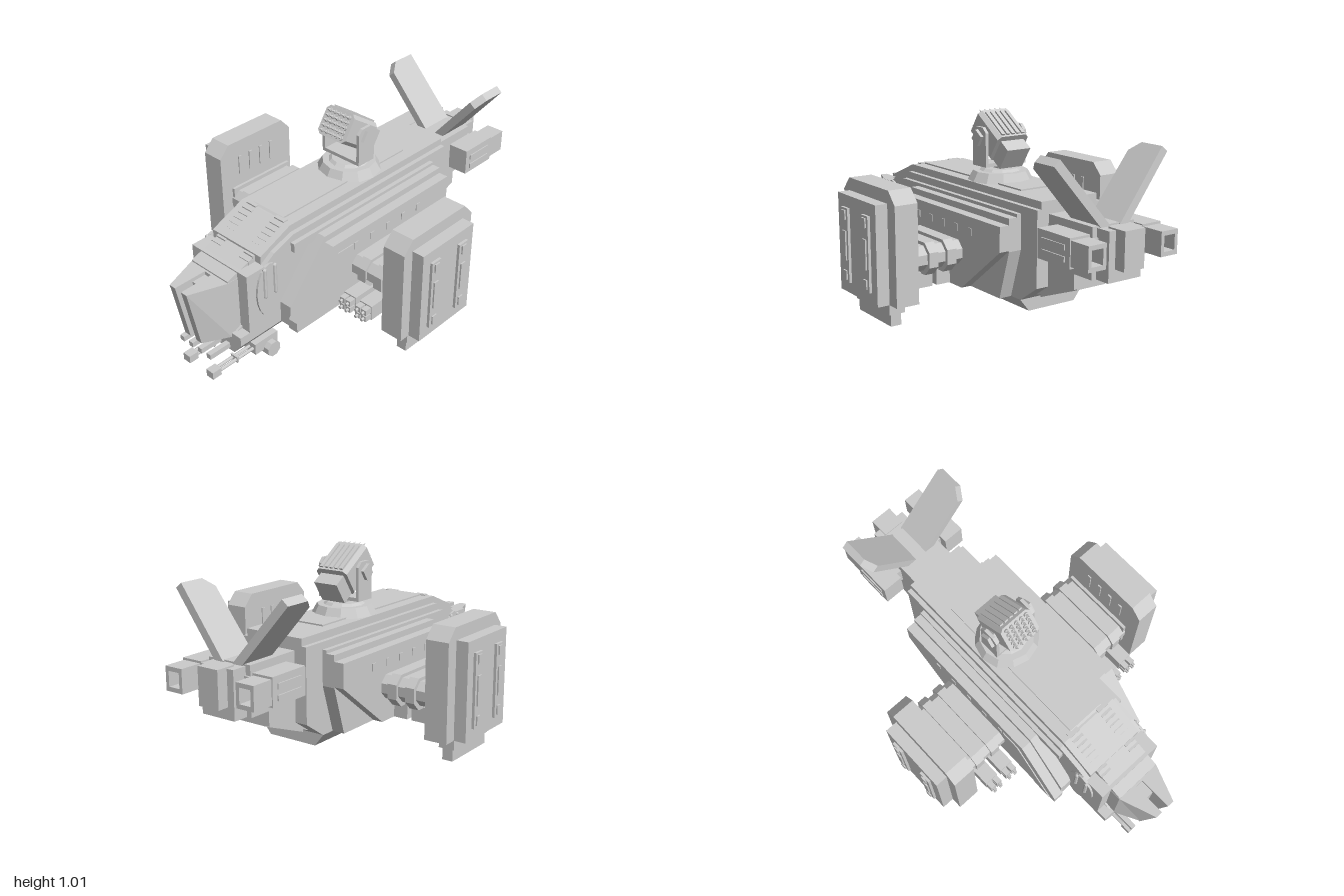
import * as THREE from 'three';

const mat = new THREE.MeshStandardMaterial({ color: 0xcccccc, flatShading: true });

export function createModel() {
  const model = new THREE.Group();
  model.name = 'gunship';

  const add = (name, geo, parent = model) => {
    const m = new THREE.Mesh(geo, mat);
    m.name = name;
    parent.add(m);
    return m;
  };
  // Box from min/max limits
  const box = (name, x0, x1, y0, y1, z0, z1, parent) => add(name,
    new THREE.BoxGeometry(Math.abs(x1 - x0), y1 - y0, z1 - z0)
      .translate((x0 + x1) / 2, (y0 + y1) / 2, (z0 + z1) / 2), parent);
  const shapeOf = pts => new THREE.Shape(pts.map(p => new THREE.Vector2(p[0], p[1])));
  const flat = depth => ({ depth, bevelEnabled: false });
  // Side profile of [z, y] points, extruded from xa to xb
  const side = (name, pts, xa, xb, parent) => add(name,
    new THREE.ExtrudeGeometry(shapeOf(pts), flat(Math.abs(xb - xa)))
      .rotateY(-Math.PI / 2).translate(Math.max(xa, xb), 0, 0), parent);
  // Front section of [x, y] points, extruded from z0 to z1
  const section = (name, pts, z0, z1, parent) => add(name,
    new THREE.ExtrudeGeometry(shapeOf(pts), flat(z1 - z0)).translate(0, 0, z0), parent);
  // Cylinder lying along z
  const rod = (name, r, x, y, z0, z1, parent, sides = 8) => add(name,
    new THREE.CylinderGeometry(r, r, z1 - z0, sides).rotateX(Math.PI / 2)
      .translate(x, y, (z0 + z1) / 2), parent);

  // Main hull, keel and roof
  side('hull', [[0.765, 0.22], [0.765, 0.57], [0.66, 0.57], [0.6, 0.61], [0.48, 0.65], [-0.585, 0.65],
    [-0.585, 0.30], [-0.47, 0.22]], -0.178, 0.178);
  side('roof', [[0.66, 0.57], [0.66, 0.61], [0.48, 0.685], [-0.585, 0.685], [-0.585, 0.57]], -0.155, 0.155);
  side('roofRidge', [[0.60, 0.60], [0.46, 0.692], [-0.36, 0.692], [-0.36, 0.6]], -0.095, 0.095);
  section('keel', [[-0.13, 0.16], [0.13, 0.16], [0.178, 0.22], [-0.178, 0.22]], -0.47, 0.765);
  side('chin', [[0.76, 0.16], [0.82, 0.16], [0.82, 0.255], [0.765, 0.28]], -0.13, 0.13);
  section('chinCheeks', [[-0.13, 0.16], [0.13, 0.16], [0.178, 0.22], [0.178, 0.265], [-0.178, 0.265], [-0.178, 0.22]], 0.76, 0.82);
  box('bellyHatch', -0.1, 0.1, 0.15, 0.16, -0.3, 0.3);
  for (let i = 0; i < 4; i++) box('bellyRib', -0.075 + i * 0.04, -0.045 + i * 0.04, 0.146, 0.15, -0.27, 0.27);

  // Cockpit nose, split by a slot and raked back toward the bottom
  const plan = [[0.12, -0.68], [0.12, -0.82], [0.055, -0.995], [0.02, -0.995], [0.02, -0.83]];
  const outline = [...plan, ...plan.slice().reverse().map(([x, y]) => [-x, y])];
  const noseGeo = new THREE.ExtrudeGeometry(shapeOf(outline), flat(0.295)).rotateX(-Math.PI / 2).translate(0, 0.243, 0);
  const np = noseGeo.attributes.position;
  for (let i = 0; i < np.count; i++)
    if (np.getZ(i) > 0.9 && np.getY(i) < 0.3) np.setZ(i, np.getZ(i) - 0.055);
  noseGeo.computeVertexNormals();
  add('cockpitNose', noseGeo);
  box('noseCentre', -0.02, 0.02, 0.26, 0.52, 0.8, 0.9);
  side('cockpitRoof', [[0.82, 0.53], [0.82, 0.545], [0.66, 0.60], [0.58, 0.60], [0.58, 0.53]], -0.118, 0.118);
  for (const x of [-0.09, -0.03, 0.03, 0.09]) box('noseProbe', x - 0.013, x + 0.013, 0.172, 0.198, 0.8, 0.935);

  // Tail boom
  side('tailBoom', [[-0.5, 0.24], [-0.5, 0.627], [-0.87, 0.627], [-0.87, 0.4], [-0.76, 0.4], [-0.76, 0.33]], -0.115, 0.115);
  side('tailPanel', [[-0.49, 0.27], [-0.74, 0.33], [-0.74, 0.317], [-0.49, 0.22]], -0.08, 0.08);
  box('tailBlock', -0.09, 0.09, 0.4, 0.62, -0.945, -0.86);
  box('tailTip', -0.055, 0.055, 0.455, 0.627, -1, -0.9);

  for (const s of [-1, 1]) {
    // Stepped grilles beside the windscreen
    for (let i = 0; i < 9; i++) {
      const z = 0.7 - i * 0.027;
      box('roofGrille', s * 0.06, s * 0.12, 0.56, 0.59 + i * 0.0125, z - 0.027, z);
    }
    // Cheek blister and vents
    const blister = new THREE.CylinderGeometry(0.14, 0.14, 0.012, 20).rotateZ(Math.PI / 2)
      .scale(1, 1, 0.55).translate(s * 0.182, 0.44, 0.64);
    add('cheekBlister', blister);
    for (const z of [0.61, 0.67]) add('cheekVent', new THREE.CapsuleGeometry(0.01, 0.14, 3, 8)
      .translate(s * 0.188, 0.49, z));

    // Armoured side sponsons in two steps
    side('innerSponson', [[0.575, 0.22], [0.575, 0.33], [0.35, 0.6], [-0.47, 0.6], [-0.47, 0.45], [-0.40, 0.22]], s * 0.17, s * 0.242);
    side('outerSponson', [[0.585, 0.22], [0.585, 0.27], [0.35, 0.57], [-0.47, 0.57], [-0.47, 0.455], [-0.17, 0.22]], s * 0.24, s * 0.292);
    side('sponsonFrame', [[0.55, 0.23], [0.32, 0.52], [0.22, 0.52], [0.45, 0.23]], s * 0.29, s * 0.297);
    box('sideRail', s * 0.17, s * 0.2, 0.57, 0.615, -0.47, 0.5);
    for (let i = 0; i < 5; i++) box('sideWindow', s * 0.29, s * 0.296, 0.485, 0.52, -0.255 + i * 0.11, -0.23 + i * 0.11);

    // Wing arm with thicker clamps, each carrying a rocket pod
    const wing = new THREE.Group();
    wing.name = 'wing';
    model.add(wing);
    const oct = (y0, y1, z0, z1, c) => [[z0 + c, y0], [z1 - c, y0], [z1, y0 + c], [z1, y1 - c],
      [z1 - c, y1], [z0 + c, y1], [z0, y1 - c], [z0, y0 + c]];
    side('wingArm', oct(0.33, 0.445, -0.18, 0.225, 0.035), s * 0.28, s * 0.53, wing);
    box('wingMount', s * 0.515, s * 0.535, 0.3, 0.465, -0.16, 0.22, wing);
    for (const x of [0.36, 0.455]) {
      side('armClamp', oct(0.31, 0.46, -0.195, 0.235, 0.04), s * (x - 0.024), s * (x + 0.024), wing);
      box('rocketPod', s * (x - 0.036), s * (x + 0.036), 0.24, 0.315, -0.12, 0.31, wing);
      for (const dx of [-0.018, 0.018]) for (const y of [0.26, 0.295]) {
        box('rocketTube', s * x + dx - 0.014, s * x + dx + 0.014, y - 0.014, y + 0.014, 0.3, 0.345, wing);
        rod('rocketTip', 0.008, s * x + dx, y, 0.34, 0.36, wing, 6);
      }
    }

    // Engine pod
    const pod = new THREE.Group();
    pod.name = 'enginePod';
    model.add(pod);
    side('podBody', [[0.285, 0.19], [0.285, 0.655], [0.23, 0.715], [-0.13, 0.715], [-0.185, 0.655], [-0.185, 0.19]],
      s * 0.53, s * 0.645, pod);
    box('podOuterPlate', s * 0.64, s * 0.705, 0.19, 0.655, -0.12, 0.23, pod);
    box('podLowerStep', s * 0.55, s * 0.63, 0.13, 0.19, -0.09, 0.22, pod);
    box('podExhaust', s * 0.567, s * 0.62, 0.073, 0.13, -0.085, 0.215, pod);
    for (const z of [-0.04, 0.15]) {
      box('podStrip', s * 0.7, s * 0.718, 0.245, 0.597, z - 0.03, z + 0.03, pod);
      for (const [y, h] of [[0.28, 0.022], [0.42, 0.07], [0.565, 0.022]])
        box('podStripPanel', s * 0.715, s * 0.725, y - h, y + h, z - 0.015, z + 0.015, pod);
    }
    for (let i = 0; i < 4; i++) box('podLouvre', s * 0.524, s * 0.532, 0.53, 0.63, -0.06 + i * 0.07, -0.04 + i * 0.07, pod);

    // Tail nacelle with a square open muzzle
    box('nacelleStrut', s * 0.08, s * 0.17, 0.48, 0.58, -0.88, -0.72);
    box('tailNacelle', s * 0.145, s * 0.25, 0.475, 0.605, -0.89, -0.68);
    const muzzle = shapeOf([[-0.047, -0.055], [0.047, -0.055], [0.047, 0.055], [-0.047, 0.055]]);
    muzzle.holes.push(new THREE.Path([[-0.03, -0.035], [-0.03, 0.035], [0.03, 0.035], [0.03, -0.035]]
      .map(p => new THREE.Vector2(p[0], p[1]))));
    add('nacelleMuzzle', new THREE.ExtrudeGeometry(muzzle, flat(0.12)).translate(s * 0.198, 0.54, -0.998));
    for (const y of [0.51, 0.56]) box('nacelleRib', s * 0.248, s * 0.256, y - 0.012, y + 0.012, -0.86, -0.71);

    // Canted tail fin
    const fin = side('tailFin', [[-0.695, -0.02], [-0.68, 0.32], [-0.73, 0.37], [-0.855, 0.37], [-0.88, -0.02]], -0.02, 0.02);
    fin.position.set(s * 0.055, 0.625, 0);
    fin.rotation.z = -s * 0.7;
  }

  // Turret ring and yoke
  const turret = new THREE.Group();
  turret.name = 'turret';
  turret.position.set(0, 0, -0.07);
  model.add(turret);
  add('turretRing', new THREE.CylinderGeometry(0.13, 0.155, 0.045, 12).translate(0, 0.707, 0), turret);
  add('turretCap', new THREE.CylinderGeometry(0.085, 0.1, 0.012, 12).translate(0, 0.735, 0), turret);
  box('turretPost', -0.035, 0.035, 0.73, 0.76, -0.035, 0.035, turret);
  box('yokeBase', -0.115, 0.115, 0.755, 0.772, -0.045, 0.06, turret);
  for (const s of [-1, 1]) {
    side('yokeArm', [[0.06, 0.755], [0.06, 0.915], [0.035, 0.94], [-0.02, 0.94], [-0.045, 0.915], [-0.045, 0.755]],
      s * 0.1, s * 0.116, turret);
    add('yokeHub', new THREE.BoxGeometry(0.05, 0.055, 0.055).rotateX(-0.59).translate(s * 0.107, 0.89, 0.01), turret);
  }

  // Tilted rocket launcher with a grid of tubes
  const launcher = new THREE.Group();
  launcher.name = 'launcher';
  launcher.position.set(0, 0.882, -0.01);
  launcher.rotation.x = -0.59;
  turret.add(launcher);
  const w = 0.087, h = 0.072, c = 0.018;
  section('launcherBox', [[-w + c, -h], [w - c, -h], [w, -h + c], [w, h - c], [w - c, h], [-w + c, h], [-w, h - c], [-w, -h + c]],
    -0.07, 0.12, launcher);
  box('launcherBack', -0.065, 0.065, -0.068, 0.045, -0.135, -0.07, launcher);
  for (let i = -2; i <= 2; i++) {
    box('launcherRib', i * 0.028 - 0.009, i * 0.028 + 0.009, 0.068, 0.08, -0.06, 0.1, launcher);
    for (let j = -2; j <= 2; j++) {
      rod('launcherTube', 0.011, i * 0.029, j * 0.025, 0.11, 0.13, launcher);
      add('launcherRocket', new THREE.ConeGeometry(0.007, 0.025, 6).rotateX(Math.PI / 2)
        .translate(i * 0.029, j * 0.025, 0.142), launcher);
    }
  }

  // Twin chin guns
  const guns = new THREE.Group();
  guns.name = 'chinGuns';
  model.add(guns);
  add('gunRing', new THREE.CylinderGeometry(0.115, 0.105, 0.02, 12).translate(0, 0.15, 0.595), guns);
  add('gunNeck', new THREE.CylinderGeometry(0.04, 0.04, 0.06, 10).translate(0, 0.12, 0.595), guns);
  box('gunCradle', -0.03, 0.03, 0.02, 0.11, 0.54, 0.66, guns);
  box('gunAxle', -0.1, 0.1, 0.045, 0.08, 0.57, 0.61, guns);
  for (const s of [-1, 1]) {
    box('gunSidePlate', s * 0.028, s * 0.042, 0.03, 0.115, 0.55, 0.64, guns);
    box('gunBody', s * 0.052, s * 0.11, 0.04, 0.1, 0.54, 0.68, guns);
    side('ammoDrum', oct8(0.59, 0.038, 0.04), s * 0.09, s * 0.14, guns);
    for (const dx of [-0.012, 0.012]) rod('gunBarrel', 0.008, s * 0.08 + dx, 0.07, 0.66, 0.9, guns);
    box('barrelBrace', s * 0.058, s * 0.102, 0.055, 0.086, 0.775, 0.785, guns);
    box('gunMuzzle', s * 0.058, s * 0.102, 0.05, 0.088, 0.88, 0.93, guns);
  }
  return model;
}

// Octagon of [z, y] points
function oct8(z, y, r) {
  return Array.from({ length: 8 }, (_, i) => {
    const a = (i + 0.5) * Math.PI / 4;
    return [z + r * Math.cos(a), y + r * Math.sin(a)];
  });
}
